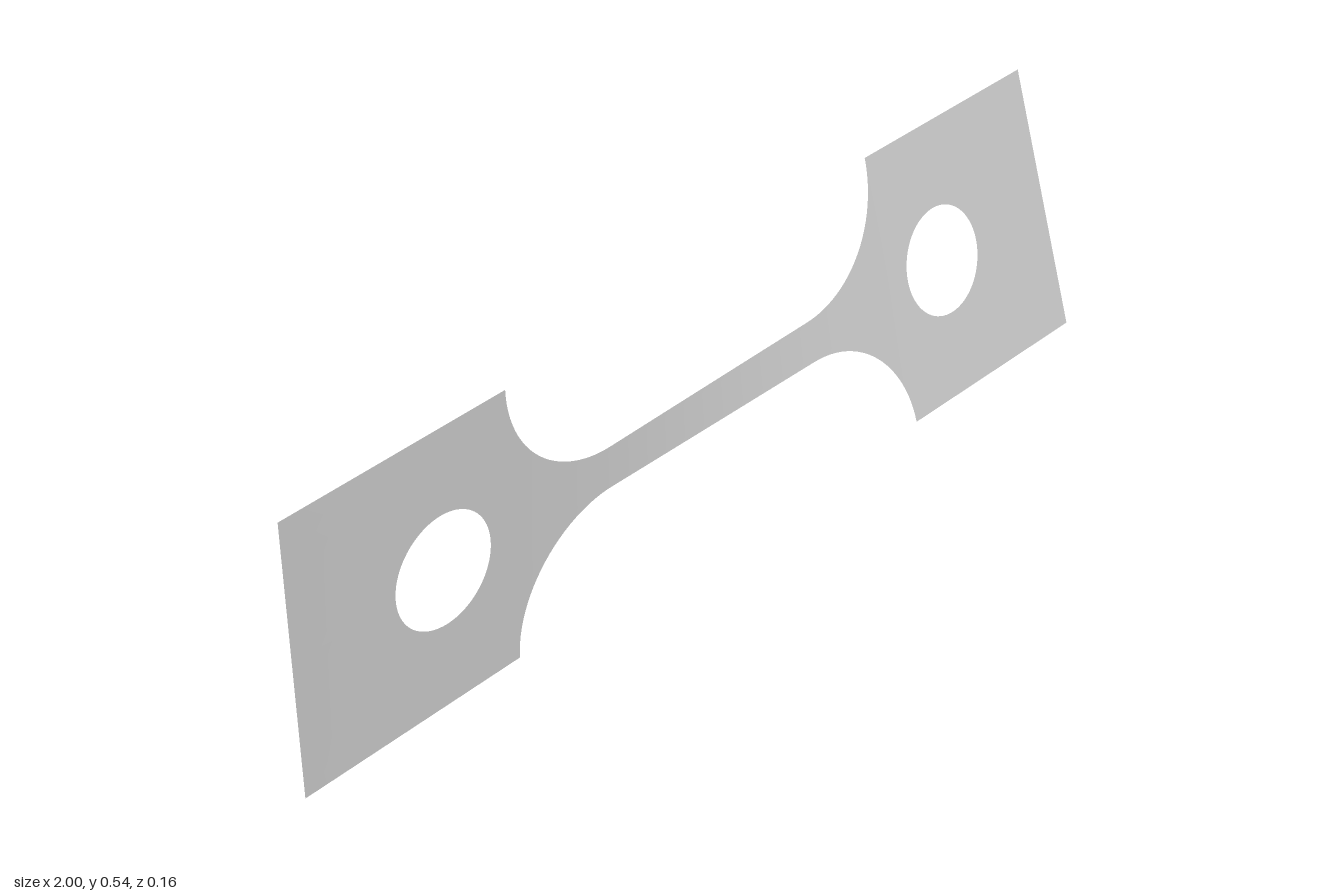
import * as THREE from 'three';

const MID_Y = 0.272, HALF = 0.271, NECK = 0.04;
const SHOULDER = 0.51, NECK_END = 0.27, HOLE_X = 0.67, HOLE_R = 0.108;

// Twist in degrees along x: nearly rigid ends, most of the turn in the neck
const TWIST = [[-1, 0], [-SHOULDER, 0.6], [-0.29, 2.4], [0.29, 14.2], [SHOULDER, 15.7], [1, 17]];

function twistAt(x) {
  let k = 0;
  while (k < TWIST.length - 2 && x > TWIST[k + 1][0]) k++;
  const [[x0, a], [x1, b]] = [TWIST[k], TWIST[k + 1]];
  return THREE.MathUtils.degToRad(a + (b - a) * (x - x0) / (x1 - x0));
}

// Grid surface from flat (x, v) points, twisted about the long axis
function twistedSheet(nu, nv, point) {
  const pos = [], idx = [];
  for (let i = 0; i <= nu; i++) {
    for (let j = 0; j <= nv; j++) {
      const [x, v] = point(i, j), a = twistAt(x);
      pos.push(x, MID_Y + v * Math.cos(a), -v * Math.sin(a));
      if (i < nu && j < nv) {
        const p = i * (nv + 1) + j, q = p + nv + 1;
        idx.push(p, q, q + 1, p, q + 1, p + 1);
      }
    }
  }
  const geo = new THREE.BufferGeometry();
  geo.setAttribute('position', new THREE.Float32BufferAttribute(pos, 3));
  geo.setIndex(idx);
  geo.computeVertexNormals();
  return geo;
}

// Rectangular grip tab with a round hole, as rings from hole to outline
function gripTab(side) {
  const inner = HOLE_X - SHOULDER, outer = 1 - HOLE_X;
  const angles = [];
  for (let i = 0; i < 72; i++) angles.push(i / 72 * Math.PI * 2);
  for (const dx of [outer, -inner])
    for (const dy of [HALF, -HALF]) angles.push((Math.atan2(dy, dx) + Math.PI * 2) % (Math.PI * 2));
  angles.sort((a, b) => a - b);
  angles.push(Math.PI * 2);
  const rings = 6;
  return twistedSheet(rings, angles.length - 1, (i, j) => {
    // the left-hand tab is mirrored, so its angles run the other way
    const a = side > 0 ? angles[j] : angles[angles.length - 1 - j];
    const c = Math.cos(a), s = Math.sin(a);
    const reach = Math.min((c > 0 ? outer : inner) / Math.max(Math.abs(c), 1e-6), HALF / Math.max(Math.abs(s), 1e-6));
    const r = HOLE_R + (reach - HOLE_R) * i / rings;
    return [side * (HOLE_X + r * c), r * s];
  });
}

// Narrow neck flaring through rounded shoulders at both ends
function neckStrip() {
  const right = [], steps = 24;
  for (let i = 0; i <= steps; i++) {
    const t = i / steps * Math.PI / 2;
    right.push([NECK_END + (SHOULDER - NECK_END) * Math.sin(t), HALF - (HALF - NECK) * Math.cos(t)]);
  }
  const middle = [];
  for (let i = 1; i < 16; i++) middle.push([-NECK_END + 2 * NECK_END * i / 16, NECK]);
  const cols = [...right.map(([x, h]) => [-x, h]).reverse(), ...middle, ...right];
  return twistedSheet(cols.length - 1, 8, (i, j) => [cols[i][0], cols[i][1] * (j / 4 - 1)]);
}

export function createModel() {
  const group = new THREE.Group();
  group.name = 'twistedTestStrip';
  const metal = new THREE.MeshStandardMaterial({ color: 0xbfbfbf, side: THREE.DoubleSide });
  metal.name = 'plain grey metal';
  const add = (name, geo) => {
    const mesh = new THREE.Mesh(geo, metal);
    mesh.name = name;
    group.add(mesh);
  };
  add('rightGripTab', gripTab(-1));
  add('leftGripTab', gripTab(1));
  add('neck', neckStrip());
  return group;
}
